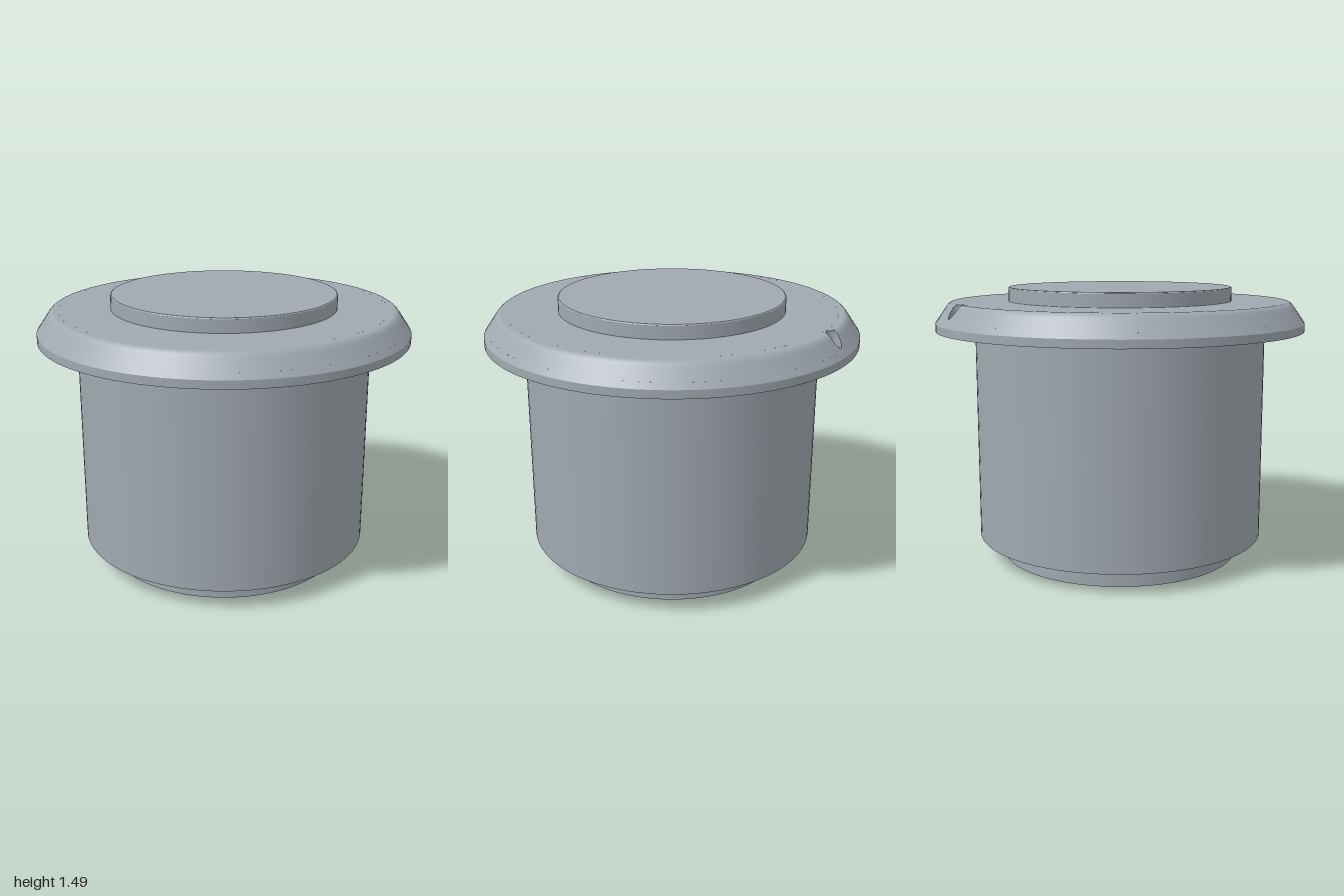
import * as THREE from 'three';

const SEG = 96;
const TOP = 1.41, HOLE_R = 0.93, HOLE_RADIUS = 0.04, HOLE_FLOOR = 1.33;
const BAND_IN = 0.88, BAND_OUT = 0.98, GAP = 0.055;

// Height of the flange's upper surface: flat, a rounded shoulder, then a bevel
function flangeHeight(r) {
  const start = 0.905, end = 0.94, slope = 1.45;
  if (r <= start) return TOP;
  if (r <= end) return TOP - (slope * (r - start) ** 2) / (2 * (end - start));
  return TOP - (slope * (end - start)) / 2 - slope * (r - end);
}

// Surface strip between closed rings of points
function ringSurface(rings) {
  const n = rings[0].length, index = [];
  for (let j = 0; j < rings.length - 1; j++) {
    for (let i = 0; i < n; i++) {
      const a = j * n + i, b = j * n + ((i + 1) % n);
      index.push(a, a + n, b + n, a, b + n, b);
    }
  }
  const geometry = new THREE.BufferGeometry().setFromPoints(rings.flat());
  geometry.setIndex(index);
  geometry.computeVertexNormals();
  return geometry;
}

export function createModel() {
  const model = new THREE.Group();
  const grey = new THREE.MeshStandardMaterial({ color: 0xa0a8b0 });
  grey.name = 'steel grey';

  const add = (parent, name, geometry) => {
    const mesh = new THREE.Mesh(geometry, grey);
    mesh.name = name;
    parent.add(mesh);
    return mesh;
  };
  const group = (name) => {
    const g = new THREE.Group();
    g.name = name;
    model.add(g);
    return g;
  };
  const lathe = (points, start = 0, length = Math.PI * 2) =>
    new THREE.LatheGeometry(points.map(([r, y]) => new THREE.Vector2(r, y)), SEG, start, length);
  const disc = (name, radius, bottom, top) => {
    const mesh = add(model, name, new THREE.CylinderGeometry(radius, radius, top - bottom, SEG));
    mesh.position.y = (bottom + top) / 2;
  };

  // Stacked round body
  disc('base', 0.655, 0, 0.115);
  disc('body', 0.79, 0.115, 1.235);
  disc('collar', 0.808, 1.235, 1.255);

  // Raised cap with a fine softened edge
  const cap = group('cap');
  add(cap, 'capSide', lathe([[0.607, TOP], [0.607, 1.479]]));
  add(cap, 'capEdge', lathe([[0.607, 1.479], [0.605, 1.483], [0.601, 1.485]]));
  add(cap, 'capTop', lathe([[0.601, 1.485], [0, 1.485]]));

  // Flange: underside, rim, and upper surface in three bands
  const flange = group('flange');
  const upper = (from, to, steps) => Array.from({ length: steps + 1 }, (_, i) => {
    const r = from + ((to - from) * i) / steps;
    return [r, flangeHeight(r)];
  });
  add(flange, 'flangeUnderside', lathe([[0, 1.255], [1, 1.255]]));
  add(flange, 'flangeRim', lathe([[1, 1.255], [1, flangeHeight(1)]]));
  add(flange, 'flangeBevel', lathe(upper(1, BAND_OUT, 2)));
  add(flange, 'flangeShoulder',
    lathe(upper(BAND_OUT, BAND_IN, 24), Math.PI + GAP, Math.PI * 2 - GAP * 2));
  add(flange, 'flangeTop', lathe(upper(BAND_IN, 0, 1)));

  // Small marker hole at the back, with the shoulder patch around it
  const marker = group('markerHole');
  const N = 48;
  const ring = (t, y) => Array.from({ length: N }, (_, i) => {
    const a = (i / N) * Math.PI * 2, c = Math.cos(a), s = Math.sin(a);
    const m = Math.max(Math.abs(c), Math.abs(s));
    const r0 = HOLE_R + HOLE_RADIUS * c;
    const r = THREE.MathUtils.lerp(r0, HOLE_R + (0.05 * c) / m, t);
    const phi = Math.PI + THREE.MathUtils.lerp((HOLE_RADIUS * s) / r0, (GAP * s) / m, t);
    return new THREE.Vector3(r * Math.sin(phi), y ?? flangeHeight(r), r * Math.cos(phi));
  });
  add(marker, 'holeSurround', ringSurface([0, 0.25, 0.5, 0.75, 1].map((t) => ring(t))));
  add(marker, 'holeWall', ringSurface([ring(0, HOLE_FLOOR), ring(0)]));
  const floor = add(marker, 'holeFloor', new THREE.CircleGeometry(HOLE_RADIUS, N));
  floor.rotation.x = -Math.PI / 2;
  floor.position.set(0, HOLE_FLOOR, -HOLE_R);

  return model;
}
